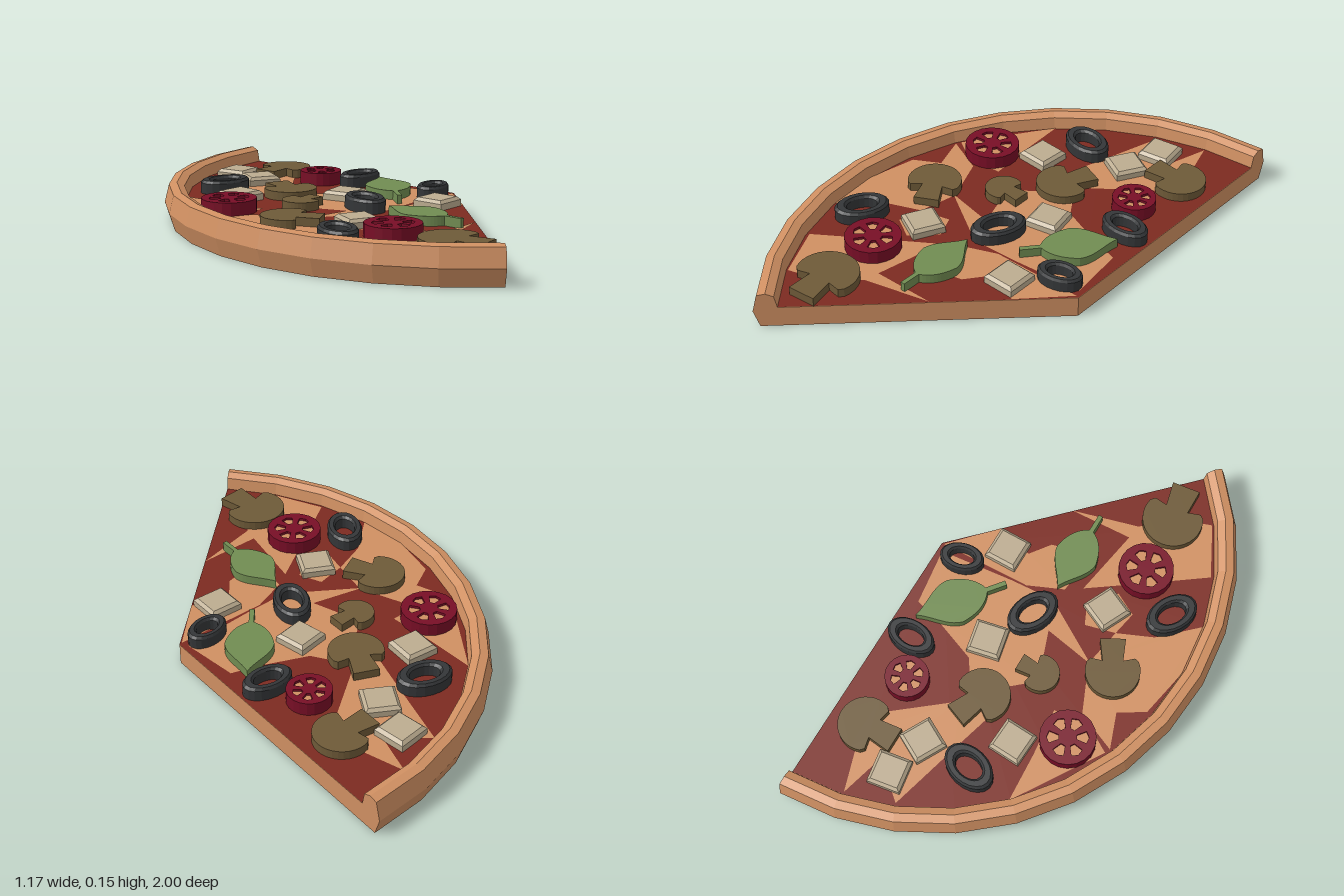
import * as THREE from 'three';

const FLOOR = 0.085;                 // height of the baked surface
const TIP = [0.58, 0.17];            // point of the wedge in x, z
const START = Math.PI, SWEEP = Math.PI * 0.75;

const mat = (color) => new THREE.MeshStandardMaterial({ color, flatShading: true, side: THREE.DoubleSide });
const M = {
  dough: mat(0xd09062), sauce: mat(0x7c2a20), olive: mat(0x343638), tomato: mat(0x780e26),
  cube: mat(0xbcac90), mushroom: mat(0x6e5a38), leaf: mat(0x718c52),
};

function add(parent, name, geometry, material, x = 0, y = 0, z = 0, turn = 0) {
  const mesh = new THREE.Mesh(geometry, material);
  mesh.name = name;
  mesh.position.set(x, y, z);
  mesh.rotation.y = turn;
  parent.add(mesh);
  return mesh;
}

const vecs = (pts) => pts.map(([x, y]) => new THREE.Vector2(x, y));

// Extrudes a shape upward; the shape's y axis points to -z
function slab(shape, height, bevel = 0) {
  const g = new THREE.ExtrudeGeometry(shape, {
    depth: height - bevel, bevelEnabled: bevel > 0, bevelSize: bevel, bevelOffset: -bevel,
    bevelThickness: bevel, bevelSegments: 1, curveSegments: 10,
  });
  return g.rotateX(-Math.PI / 2);
}

// Half-round cap with a stem toward +z
function mushroomShape() {
  const s = new THREE.Shape();
  s.moveTo(-0.04, -0.04);
  s.lineTo(-0.05, -0.13);
  s.lineTo(0.05, -0.13);
  s.lineTo(0.04, -0.04);
  s.lineTo(0.085, -0.05);
  s.absarc(0, 0, 0.106, -0.35, Math.PI + 0.35, false);
  s.lineTo(-0.085, -0.05);
  s.closePath();
  return s;
}

// Pointed leaf with a thin stalk toward +z
function leafShape() {
  const s = new THREE.Shape();
  s.moveTo(0, 0.14);
  s.bezierCurveTo(-0.03, 0.08, -0.08, 0.05, -0.086, -0.01);
  s.quadraticCurveTo(-0.07, -0.1, -0.009, -0.13);
  s.lineTo(-0.009, -0.205);
  s.lineTo(0.009, -0.205);
  s.lineTo(0.009, -0.13);
  s.quadraticCurveTo(0.07, -0.1, 0.086, -0.01);
  s.bezierCurveTo(0.08, 0.05, 0.03, 0.08, 0, 0.14);
  return s;
}

// Round slice with six seed chambers
function tomatoShape() {
  const s = new THREE.Shape();
  s.absarc(0, 0, 0.108, 0, Math.PI * 2, false);
  for (let i = 0; i < 6; i++) {
    const a = i * Math.PI / 3 + 0.3;
    const p = (r, t) => new THREE.Vector2(r * Math.cos(t), r * Math.sin(t));
    s.holes.push(new THREE.Path([p(0.036, a - 0.25), p(0.036, a + 0.25), p(0.074, a + 0.32), p(0.08, a), p(0.074, a - 0.32)]));
  }
  return s;
}

export function createModel() {
  const root = new THREE.Group();
  root.name = 'pizzaWedge';

  // Dough with raised rim, swept around the tip
  const base = new THREE.Group();
  base.name = 'base';
  base.position.set(TIP[0], 0, TIP[1]);
  root.add(base);
  const profile = vecs([[0, 0], [1.148, 0], [1.17, 0.07], [1.152, 0.142], [1.12, 0.149], [1.09, 0.135], [1.08, FLOOR], [0, FLOOR]]);
  add(base, 'crust', new THREE.LatheGeometry(profile, 12, START, SWEEP), M.dough);
  for (const phi of [START, START + SWEEP]) {
    add(base, 'cutFace', new THREE.ShapeGeometry(new THREE.Shape(profile)), M.dough, 0, 0, 0, phi - Math.PI / 2);
  }
  add(base, 'sauce', new THREE.LatheGeometry(vecs([[1.08, FLOOR + 0.002], [0, FLOOR + 0.002]]), 12, START, SWEEP), M.sauce);

  // Jagged melted patches lying on the sauce, as x, z outlines
  const patches = [
    [[0.18, -0.82], [0.1, -0.53], [0.04, -0.32], [0.18, -0.36], [0.42, -0.55], [0.44, -0.66], [0.37, -0.88], [0.32, -0.7]],
    [[-0.18, -0.6], [-0.4, -0.26], [-0.3, -0.2], [-0.15, -0.21], [-0.17, -0.4]],
    [[-0.5, 0.16], [-0.46, -0.04], [-0.36, -0.1], [-0.41, -0.24], [-0.25, -0.17], [-0.17, 0.02], [-0.2, 0.18], [-0.34, 0.24], [-0.48, 0.37]],
    [[-0.18, 0.02], [0.03, 0.06], [-0.04, -0.14], [0.16, -0.31], [0.24, -0.19], [0.42, -0.12], [0.53, -0.09], [0.56, 0.14], [0.26, 0.17], [0.08, 0.18]],
    [[-0.41, 0.57], [-0.2, 0.42], [0, 0.28], [-0.05, 0.56], [0.2, 0.55], [-0.06, 0.62], [-0.16, 0.72], [-0.31, 0.77]],
    [[0.2, 0.18], [0.57, 0.17], [0.41, 0.34], [0.26, 0.3], [0.2, 0.38], [0.04, 0.42], [0.06, 0.24]],
    [[-0.2, 0.18], [-0.08, 0.15], [-0.04, 0.24], [-0.13, 0.33], [-0.22, 0.28]],
  ];
  for (const pts of patches) {
    const g = new THREE.ShapeGeometry(new THREE.Shape(vecs(pts.map(([x, z]) => [x, -z]))));
    add(root, 'cheesePatch', g.rotateX(-Math.PI / 2), M.dough, 0, FLOOR + 0.004, 0);
  }

  // Olive rings: x, z, half length, half width, turn
  const ring = new THREE.LatheGeometry(vecs([[0.56, 0], [1, 0], [1, 0.045], [0.9, 0.055], [0.66, 0.055], [0.56, 0.045], [0.56, 0]]), 20);
  for (const [x, z, a, b, turn] of [
    [0.01, -0.57, 0.107, 0.072, -0.25], [0.47, -0.235, 0.1, 0.063, -0.05], [0.47, 0.145, 0.088, 0.058, 0.25],
    [0.115, 0.085, 0.11, 0.07, 1.15], [-0.355, 0.345, 0.107, 0.07, 1.05]]) {
    add(root, 'oliveRing', ring, M.olive, x, FLOOR, z, turn).scale.set(a, 1, b);
  }

  // Tomato slices with pale chambers
  const slice = slab(tomatoShape(), 0.055);
  for (const [x, z, k, turn] of [[-0.255, -0.29, 1, 0.2], [0.395, -0.385, 0.79, 0.5], [-0.18, 0.457, 1, 0]]) {
    add(root, 'tomatoSlice', slice, M.tomato, x, FLOOR, z, turn).scale.set(k, 1, k);
    add(root, 'tomatoFlesh', new THREE.CylinderGeometry(0.09 * k, 0.09 * k, 0.044, 20), M.dough, x, FLOOR + 0.023, z);
  }

  // Cheese cubes with bevelled tops
  const square = new THREE.Shape(vecs([[-0.066, -0.066], [0.066, -0.066], [0.066, 0.066], [-0.066, 0.066]]));
  const cube = slab(square, 0.04, 0.012);
  for (const [x, z, turn] of [[0.26, -0.73, 0.15], [0.215, -0.565, -0.5], [-0.08, -0.4, -0.06],
    [0.21, -0.095, 0.2], [-0.125, 0.245, -0.45], [0.335, 0.27, 0]]) {
    add(root, 'cheeseCube', cube, M.cube, x, FLOOR, z, turn);
  }

  // Mushroom slices: x, z, scale, turn
  const cap = slab(mushroomShape(), 0.037);
  for (const [x, z, k, turn] of [[-0.165, 0.705, 1.13, 0.12], [0.435, -0.62, 1, -Math.PI / 2],
    [0.11, -0.3, 1, 2.76], [-0.035, -0.115, 0.7, Math.PI / 2], [-0.27, 0.03, 1, 0.5]]) {
    add(root, 'mushroomSlice', cap, M.mushroom, x, FLOOR, z, turn).scale.set(k, 1, k);
  }

  // Basil leaves
  const leaf = slab(leafShape(), 0.04);
  for (const [x, z, k, turn] of [[0.086, 0.365, 1, 0], [0.405, -0.035, 1.08, -0.68]]) {
    add(root, 'basilLeaf', leaf, M.leaf, x, FLOOR, z, turn).scale.set(k, 1, k);
  }
  return root;
}
